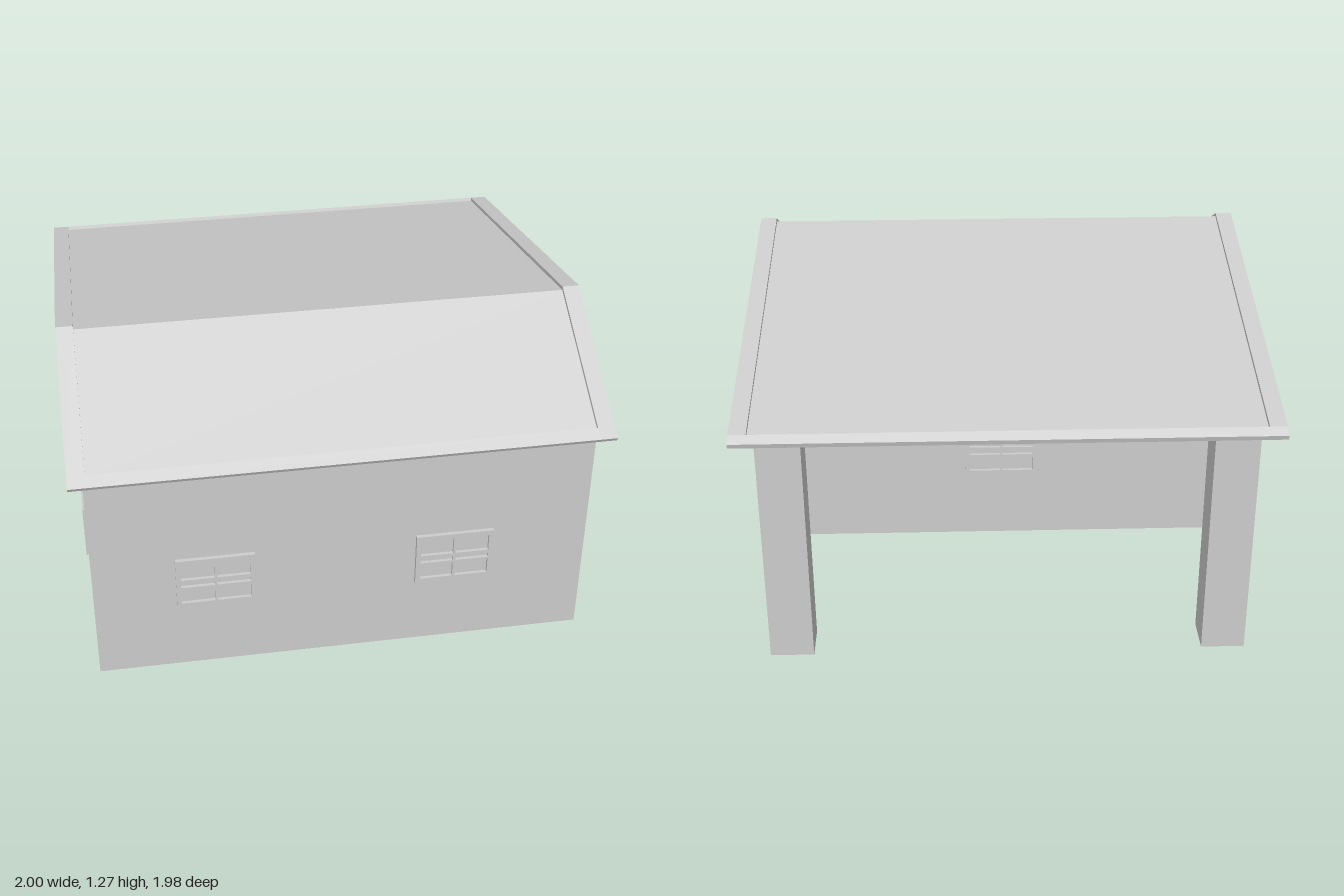
import * as THREE from 'three';

const material = new THREE.MeshStandardMaterial({ color: 0xcccccc, flatShading: true });

function mesh(name, geometry, parent) {
  const m = new THREE.Mesh(geometry, material);
  m.name = name;
  parent.add(m);
  return m;
}

// Box given by its min and max corners
function box(name, parent, [x0, y0, z0], [x1, y1, z1]) {
  const g = new THREE.BoxGeometry(x1 - x0, y1 - y0, z1 - z0);
  g.translate((x0 + x1) / 2, (y0 + y1) / 2, (z0 + z1) / 2);
  return mesh(name, g, parent);
}

function polygon(points) {
  return points.map(([x, y]) => new THREE.Vector2(x, y));
}

function rect(x0, y0, x1, y1) {
  return polygon([[x0, y0], [x1, y0], [x1, y1], [x0, y1]]);
}

// Profile in (z, y), extruded along x from x0 to x1
function extrudeAlongX(points, x0, x1) {
  const g = new THREE.ExtrudeGeometry(new THREE.Shape(polygon(points)), { depth: x1 - x0, bevelEnabled: false });
  g.rotateY(-Math.PI / 2);
  g.translate(x1, 0, 0);
  return g;
}

// Window frame with two columns and three rows of panes, facing local +z
function createWindow(name) {
  const group = new THREE.Group();
  group.name = name;
  const shape = new THREE.Shape(rect(-0.15, 0.303, 0.15, 0.527));
  const rows = [[0.324, 0.392], [0.4, 0.419], [0.435, 0.506]];
  for (const [y0, y1] of rows) {
    for (const [x0, x1] of [[-0.132, -0.005], [0.005, 0.132]]) {
      shape.holes.push(new THREE.Path(rect(x0, y0, x1, y1)));
    }
  }
  mesh('windowFrame', new THREE.ExtrudeGeometry(shape, { depth: 0.016, bevelEnabled: false }), group);
  box('windowGlass', group, [-0.14, 0.31, -0.005], [0.14, 0.52, 0.003]);
  return group;
}

// Door with surround and lever handle, facing local +z
function createDoor() {
  const group = new THREE.Group();
  group.name = 'door';
  const surround = new THREE.Shape(polygon([
    [-0.218, 0.01], [-0.197, 0.01], [-0.197, 0.482], [0.187, 0.482],
    [0.187, 0.01], [0.218, 0.01], [0.218, 0.505], [-0.218, 0.505],
  ]));
  mesh('doorSurround', new THREE.ExtrudeGeometry(surround, { depth: 0.015, bevelEnabled: false }), group);
  box('doorLeaf', group, [-0.197, 0.01, -0.005], [0.187, 0.482, 0.004]);
  box('handlePlate', group, [0.141, 0.225, 0.003], [0.15, 0.28, 0.007]);
  box('handleStem', group, [0.143, 0.247, 0.004], [0.149, 0.253, 0.025]);
  box('handleLever', group, [0.121, 0.247, 0.02], [0.149, 0.253, 0.026]);
  return group;
}

// Asymmetric gable roof: raised rims on all sides around recessed panels
function createRoof() {
  const roof = new THREE.Group();
  roof.name = 'roof';
  const underside = [[-0.985, 0.938], [0.985, 0.938], [0.993, 0.953]];
  const backEdge = [[-0.955, 0.976], [-0.99, 0.956]];
  const rim = [...underside, [0.415, 1.27], ...backEdge];
  const panel = [
    ...underside, [0.95, 0.977], [0.945, 0.965],
    [0.415, 1.255],
    [-0.95, 0.962], ...backEdge,
  ];
  mesh('rightGableRim', extrudeAlongX(rim, -1, -0.935), roof);
  mesh('leftGableRim', extrudeAlongX(rim, 0.935, 1), roof);
  mesh('roofPanels', extrudeAlongX(panel, -0.935, 0.935), roof);
  return roof;
}

export function createModel() {
  const model = new THREE.Group();
  model.name = 'house';

  box('walls', model, [-0.948, 0.01, -0.098], [0.948, 0.938, 0.915]);
  model.add(createRoof());

  // Posts carrying the rear overhang
  for (const x of [-0.83, 0.83]) {
    box('porchPost', model, [x - 0.083, 0, -0.94], [x + 0.083, 0.938, -0.79]);
  }

  // Openings: part, x, z, turn about y
  const openings = [
    [createWindow('frontRightWindow'), -0.487, 0.915, 0],
    [createWindow('frontLeftWindow'), 0.43, 0.915, 0],
    [createWindow('backWindow'), 0, -0.098, Math.PI],
    [createWindow('sideWindow'), -0.948, 0.41, -Math.PI / 2],
    [createDoor(), 0.948, 0.388, Math.PI / 2],
  ];
  for (const [part, x, z, turn] of openings) {
    part.position.set(x, 0, z);
    part.rotation.y = turn;
    model.add(part);
  }
  return model;
}
